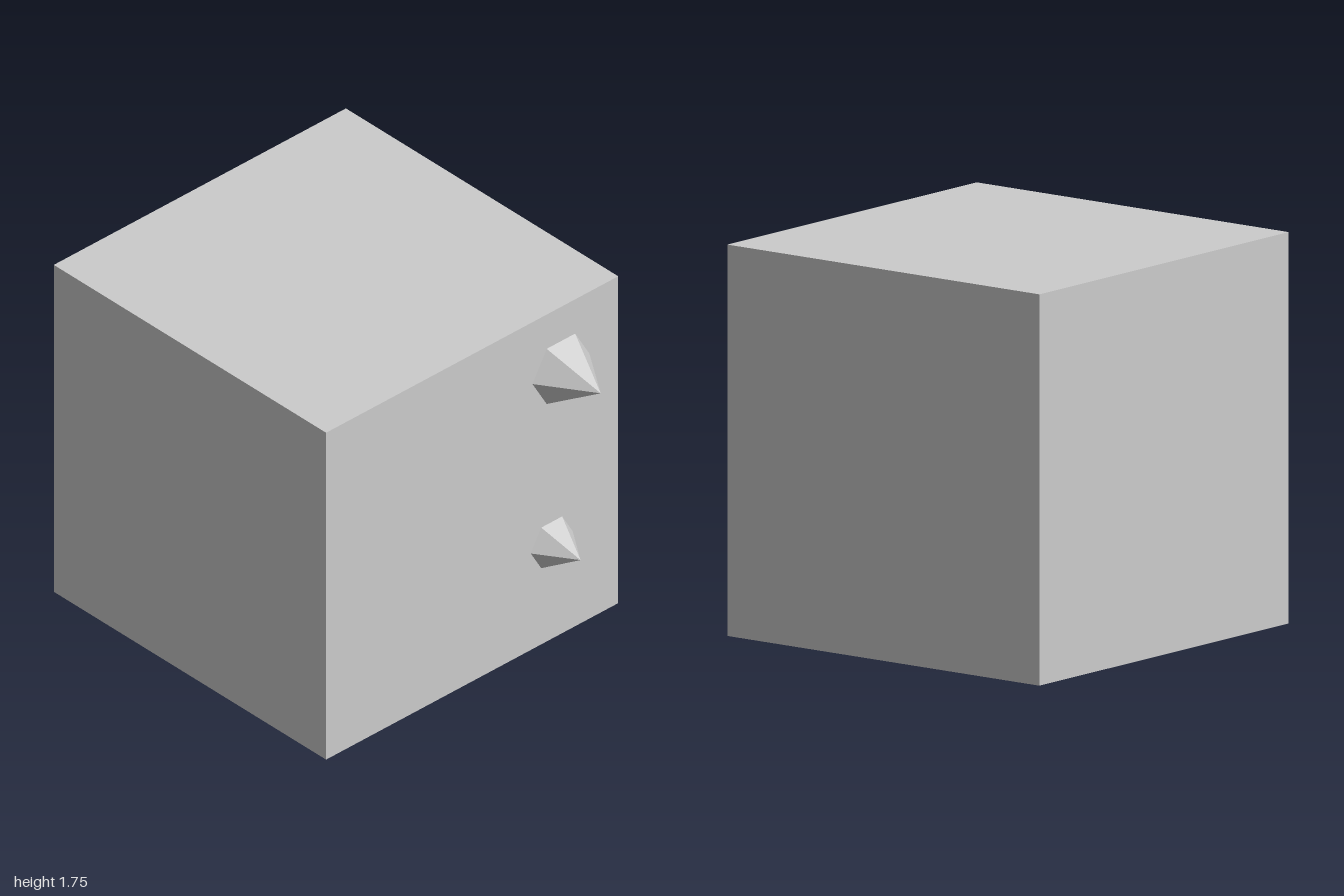
import * as THREE from 'three';

const material = new THREE.MeshStandardMaterial({ color: 0xcccccc, flatShading: true });
const SIZE = 1.745; // edge of the cube
const BACK = -1;
const FRONT = BACK + SIZE;

function addMesh(group, name, geometry, x, y, z) {
  const mesh = new THREE.Mesh(geometry, material);
  mesh.name = name;
  mesh.position.set(x, y, z);
  group.add(mesh);
}

// Six-sided spike pointing forward, its base on the front face
function addSpike(group, name, x, y, radius, height) {
  const geometry = new THREE.ConeGeometry(radius, height, 6);
  geometry.rotateY(Math.PI / 2); // corners to left and right
  geometry.rotateX(Math.PI / 2); // tip towards +z
  addMesh(group, name, geometry, x, y, FRONT + height / 2);
}

export function createModel() {
  const group = new THREE.Group();

  // Main cube
  addMesh(group, 'body', new THREE.BoxGeometry(SIZE, SIZE, SIZE), 0, SIZE / 2, BACK + SIZE / 2);

  // Thin inset panel, all but flush with the back
  addMesh(group, 'backPanel', new THREE.BoxGeometry(1.57, 1.57, 0.02), 0, SIZE / 2, BACK + 0.009);

  // Spikes on the front
  addSpike(group, 'upperSpike', 0.53, 1.415, 0.17, 0.255);
  addSpike(group, 'lowerSpike', 0.475, 0.515, 0.125, 0.185);

  return group;
}
